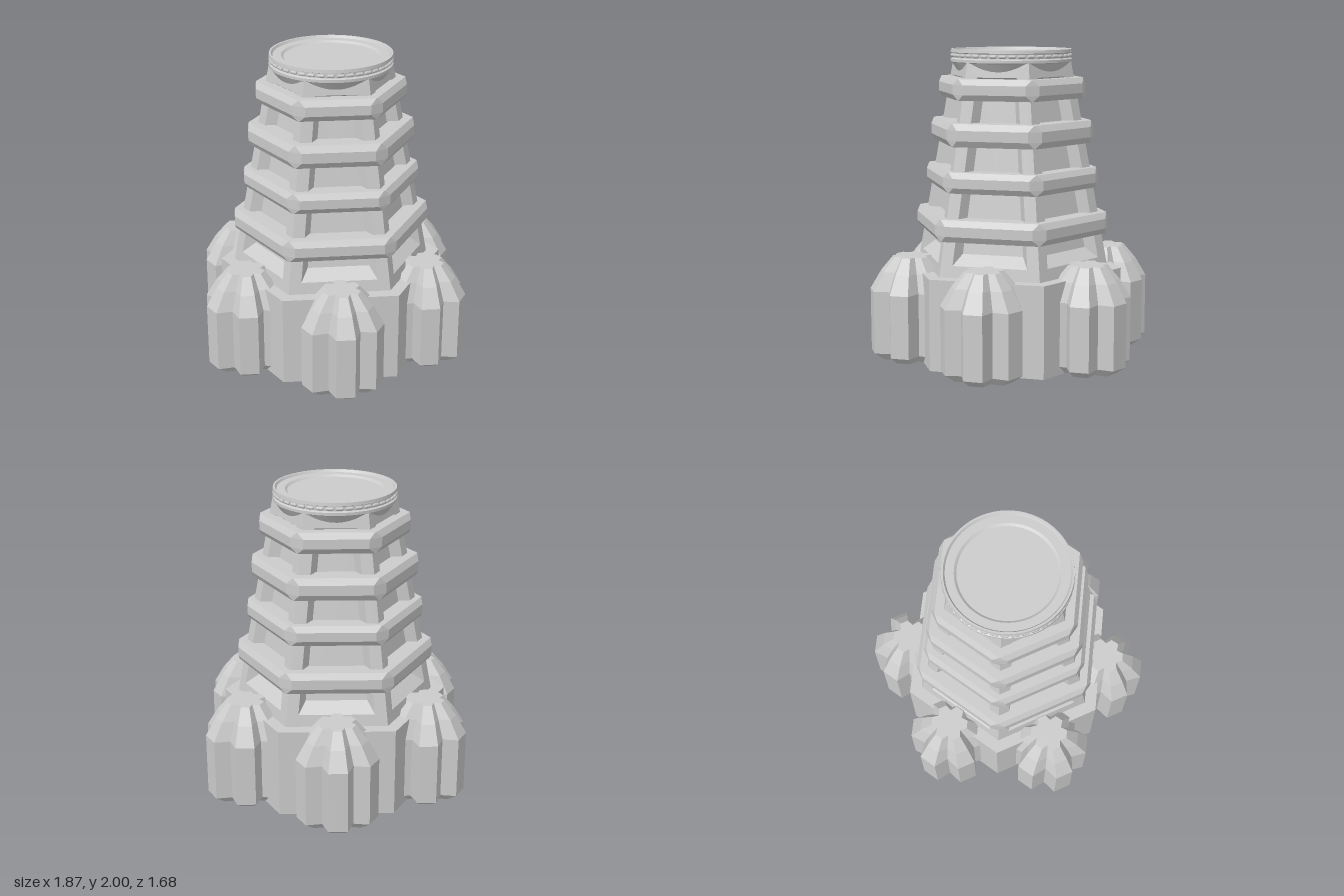
import * as THREE from 'three';
import { toCreasedNormals } from 'three/addons/utils/BufferGeometryUtils.js';

const flat = new THREE.MeshStandardMaterial({ color: 0xcccccc, flatShading: true });
const smooth = new THREE.MeshStandardMaterial({ color: 0xcccccc });
const DEG = Math.PI / 180;

// Skin a stack of closed loops with flat facets, optionally capping first and last
function loft(loops, capStart, capEnd) {
  const out = [];
  const tri = (a, b, c) => out.push(...a, ...b, ...c);
  const n = loops[0].length;
  for (let j = 0; j + 1 < loops.length; j++) {
    for (let i = 0; i < n; i++) {
      const k = (i + 1) % n;
      const a = loops[j][i], b = loops[j + 1][i], c = loops[j + 1][k], d = loops[j][k];
      tri(a, b, c);
      tri(a, c, d);
    }
  }
  const cap = (loop, flip) => {
    const mid = [0, 1, 2].map(s => loop.reduce((t, p) => t + p[s], 0) / n);
    loop.forEach((p, i) => {
      const q = loop[(i + 1) % n];
      if (flip) tri(mid, q, p); else tri(mid, p, q);
    });
  };
  if (capStart) cap(loops[0], false);
  if (capEnd) cap(loops[loops.length - 1], true);
  const geo = new THREE.BufferGeometry();
  geo.setAttribute('position', new THREE.Float32BufferAttribute(out, 3));
  geo.computeVertexNormals();
  return geo;
}

function add(parent, name, geo, material = flat) {
  const mesh = new THREE.Mesh(geo, material);
  mesh.name = name;
  parent.add(mesh);
  return mesh;
}

// Hexagon with its corners cut off to a half width w
function hexLoop(apothem, y, w) {
  const pts = [];
  const r = apothem / Math.cos(30 * DEG) - w * Math.tan(30 * DEG);
  for (let k = 0; k < 6; k++) {
    const a = (30 + 60 * k) * DEG, c = Math.cos(a), s = Math.sin(a);
    for (const t of [-w, w]) pts.push([r * c - t * s, y, r * s + t * c]);
  }
  return pts;
}

// Six-lobed flower outline of a buttress
function flowerLoop(scale, y) {
  const pts = [];
  for (let k = 0; k < 6; k++) {
    for (const [r, a] of [[0.272, -12.8], [0.272, 12.8], [0.196, 30]]) {
      const t = (60 * k + a) * DEG;
      pts.push([r * scale * Math.cos(t), y, r * scale * Math.sin(t)]);
    }
  }
  return pts;
}

// Tapering tower
const apothemAt = y => 0.56 - 0.164 * (y - 0.59);

function panelLoop(y0, y1, margin, depth) {
  const p = (y, side) => [apothemAt(y) - depth, y, side * (apothemAt(y) / Math.sqrt(3) - margin)];
  return [p(y0, -1), p(y0, 1), p(y1, 1), p(y1, -1)];
}

export function createModel() {
  const model = new THREE.Group();
  model.name = 'tower';

  // Hexagonal base
  add(model, 'base', new THREE.CylinderGeometry(0.735, 0.735, 0.59, 6)).position.y = 0.295;

  // Buttresses and recessed wall panels, one of each per side
  const buttress = loft([
    flowerLoop(0.74, 0), flowerLoop(1, 0.05), flowerLoop(1, 0.46),
    flowerLoop(0.74, 0.58), flowerLoop(0.45, 0.675),
  ], true, true);
  const panel = loft([
    panelLoop(0.59, 1.93, 0, 0),
    panelLoop(0.665, 1.83, 0.075, 0),
    panelLoop(0.73, 1.79, 0.115, 0.065),
  ], false, true);
  for (let k = 0; k < 6; k++) {
    const side = new THREE.Group();
    side.name = 'side' + (k + 1);
    side.rotation.y = k * 60 * DEG;
    add(side, 'buttress', buttress).position.x = 0.67;
    add(side, 'wallPanel', panel);
    model.add(side);
  }

  // Chamfered hexagonal bands: centre height, half height, apothem
  const bands = [[0.885, 0.07, 0.575], [1.18, 0.066, 0.515], [1.475, 0.073, 0.485], [1.755, 0.067, 0.437]];
  for (const [y, h, a] of bands) {
    const inner = apothemAt(y) - 0.07;
    add(model, 'band', loft([
      hexLoop(inner, y - h, 0.003),
      hexLoop(a - 0.025, y - h, 0.003),
      hexLoop(a, y - h * 0.45, 0.045),
      hexLoop(a, y + h * 0.45, 0.045),
      hexLoop(a - 0.025, y + h, 0.003),
      hexLoop(inner, y + h, 0.003),
    ]));
  }

  // Round cap with a flared underside, grooved edge and dished top
  const profile = [
    [0, 1.84], [0.335, 1.84], [0.385, 1.915], [0.393, 1.92], [0.393, 1.938], [0.38, 1.945],
    [0.38, 1.975], [0.393, 1.98], [0.39, 2], [0.378, 2], [0.368, 1.985],
    [0.315, 1.985], [0.3, 1.972], [0, 1.972],
  ].map(p => new THREE.Vector2(...p));
  add(model, 'cap', toCreasedNormals(new THREE.LatheGeometry(profile, 64), 0.3), smooth);

  // Beads set in the groove
  const beads = new THREE.Group();
  beads.name = 'beads';
  const bead = new THREE.CapsuleGeometry(0.011, 0.03, 2, 6);
  for (let k = 0; k < 40; k++) {
    const a = k * 9 * DEG;
    const mesh = add(beads, 'bead', bead, smooth);
    mesh.position.set(0.384 * Math.sin(a), 1.96, 0.384 * Math.cos(a));
    mesh.rotation.set(0, a, Math.PI / 2);
  }
  model.add(beads);

  return model;
}
